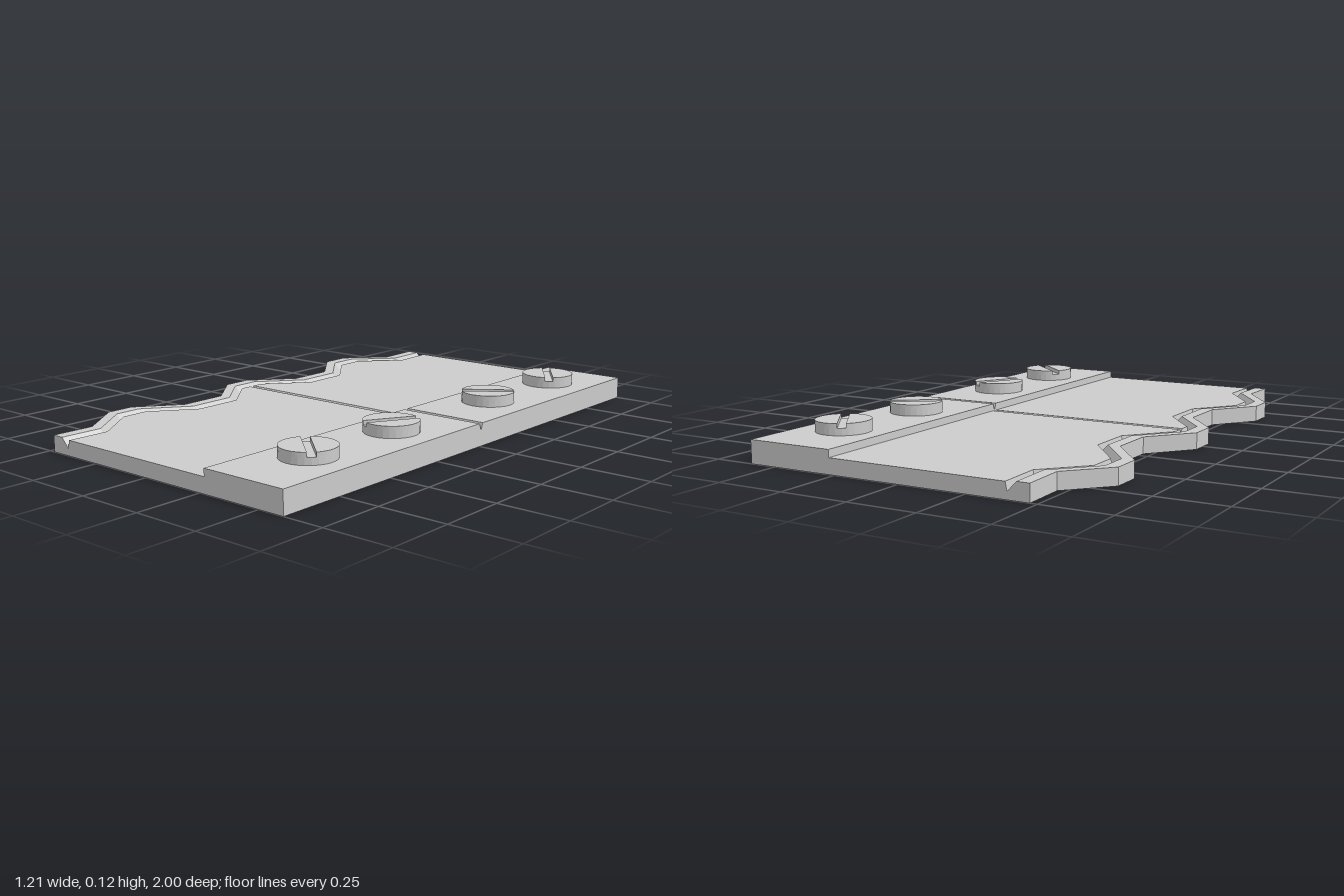
import * as THREE from 'three';

const material = new THREE.MeshStandardMaterial({ color: 0xcccccc, flatShading: true });

// Corners of the wavy edge: [z, x]
const edge = [
  [-1, -0.475], [-0.83, -0.47], [-0.685, -0.605], [-0.57, -0.605], [-0.4, -0.47], [-0.22, -0.47],
  [-0.06, -0.602], [0.05, -0.602], [0.21, -0.473], [0.4, -0.473], [0.56, -0.595], [0.665, -0.595],
  [0.84, -0.47], [1, -0.475],
];

// Cross-section of the plate, counter-clockwise seen from +z; cut lowers the top for the cross groove
function section(x, cut) {
  const low = 0.056 - cut * 0.015, high = 0.083 - cut * 0.026;
  return [
    [x, 0], [0.6, 0], [0.6, high], [0.27, high], [0.27, low],
    [x + 0.084, low], [x + 0.078, 0.026], [x + 0.046, 0.06], [x, 0.06],
  ];
}

function plateGeometry() {
  // Three extra stations carve the V groove across the middle
  const stations = edge.map(([z, x]) => ({ z, x, cut: 0 }));
  for (const [z, cut] of [[-0.016, 0], [-0.006, 1], [0.004, 0]]) stations.push({ z, x: -0.602, cut });
  stations.sort((a, b) => a.z - b.z);

  const rings = stations.map(({ z, x, cut }) => section(x, cut).map(([px, py]) => [px, py, z]));
  const positions = [];
  const tri = (...corners) => corners.forEach((c) => positions.push(...c));
  for (let s = 0; s < rings.length - 1; s++) {
    const r = rings[s], t = rings[s + 1];
    r.forEach((p, i) => {
      const j = (i + 1) % r.length;
      tri(p, r[j], t[j]);
      tri(p, t[j], t[i]);
    });
  }
  // End caps
  const first = rings[0], last = rings[rings.length - 1];
  const cap = (ring) => THREE.ShapeUtils.triangulateShape(ring.map(([x, y]) => new THREE.Vector2(x, y)), []);
  for (const [a, b, c] of cap(last)) tri(last[a], last[b], last[c]);
  for (const [a, b, c] of cap(first)) tri(first[a], first[c], first[b]);

  const geometry = new THREE.BufferGeometry();
  geometry.setAttribute('position', new THREE.Float32BufferAttribute(positions, 3));
  geometry.computeVertexNormals();
  return geometry;
}

// Round screw head: a disc topped by two half-moons with the slot between them
function createScrew(z, degrees) {
  const radius = 0.098, discHeight = 0.026, moonHeight = 0.016;
  const screw = new THREE.Group();
  screw.name = 'screw';

  const disc = new THREE.Mesh(new THREE.CylinderGeometry(radius, radius, discHeight, 28), material);
  disc.name = 'screwDisc';
  disc.position.y = discHeight / 2;
  screw.add(disc);

  const start = Math.asin(0.015 / radius);
  const moon = new THREE.Shape().absarc(0, 0, radius, start, Math.PI - start, false);
  const moonGeometry = new THREE.ExtrudeGeometry(moon, { depth: moonHeight, bevelEnabled: false, curveSegments: 14 });
  moonGeometry.rotateX(-Math.PI / 2);
  for (const turn of [0, Math.PI]) {
    const half = new THREE.Mesh(moonGeometry, material);
    half.name = 'screwTopHalf';
    half.position.y = discHeight;
    half.rotation.y = turn;
    screw.add(half);
  }

  screw.position.set(0.43, 0.083, z);
  screw.rotation.y = -THREE.MathUtils.degToRad(degrees);
  return screw;
}

export function createModel() {
  const model = new THREE.Group();
  model.name = 'wavyEdgedPlate';

  const plate = new THREE.Mesh(plateGeometry(), material);
  plate.name = 'plate';
  model.add(plate);

  for (const [z, degrees] of [[-0.725, 55], [-0.3, -36], [0.283, -60], [0.703, 42]]) {
    model.add(createScrew(z, degrees));
  }
  return model;
}
